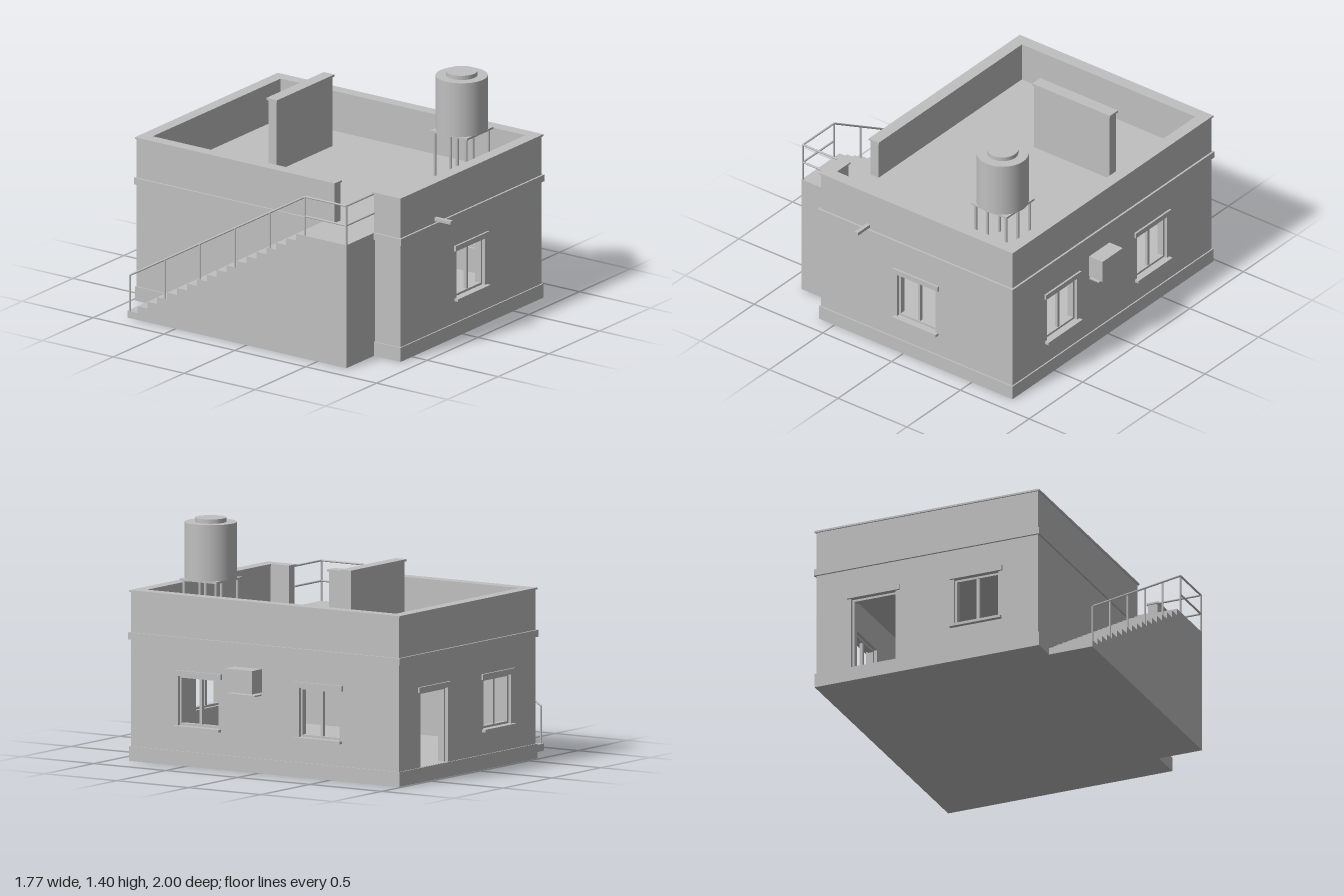
import * as THREE from 'three';

const concrete = new THREE.MeshStandardMaterial({ color: 0xc0c0c0 });
concrete.name = 'concrete grey';

function add(parent, name, geometry, x = 0, y = 0, z = 0) {
  const mesh = new THREE.Mesh(geometry, concrete);
  mesh.name = name;
  mesh.position.set(x, y, z);
  parent.add(mesh);
  return mesh;
}

// Box given by its limits on each axis
function block(parent, name, x0, x1, y0, y1, z0, z1) {
  return add(parent, name, new THREE.BoxGeometry(x1 - x0, y1 - y0, z1 - z0),
    (x0 + x1) / 2, (y0 + y1) / 2, (z0 + z1) / 2);
}

// Round bar between two points
function bar(parent, name, a, b, r = 0.006) {
  const from = new THREE.Vector3(...a), to = new THREE.Vector3(...b);
  const dir = to.clone().sub(from);
  const mesh = add(parent, name, new THREE.CylinderGeometry(r, r, dir.length(), 8));
  mesh.position.copy(from).add(to).multiplyScalar(0.5);
  mesh.quaternion.setFromUnitVectors(new THREE.Vector3(0, 1, 0), dir.normalize());
}

const X0 = -0.605, X1 = 0.788, Z0 = -0.975, Z1 = 0.885; // outer wall faces
const FLOOR = 0.085, CEILING = 0.705, ROOF = 0.745, WALL = 0.07;
const SILL = 0.232, HEAD = 0.52, HALF = 0.14;

function rectangle(path, x0, x1, y0, y1) {
  path.moveTo(x0, y0);
  path.lineTo(x1, y0);
  path.lineTo(x1, y1);
  path.lineTo(x0, y1);
  path.closePath();
  return path;
}

// Wall with openings, in its own frame: outer face on z = 0, facing +z
function piercedWall(parent, name, angle, x, z, u0, u1, windows, doors = []) {
  const side = new THREE.Group();
  side.name = name;
  side.rotation.y = angle;
  side.position.set(x, 0, z);
  parent.add(side);
  const shape = rectangle(new THREE.Shape(), u0, u1, FLOOR, CEILING);
  for (const u of windows) shape.holes.push(rectangle(new THREE.Path(), u - HALF, u + HALF, SILL, HEAD));
  for (const u of doors) shape.holes.push(rectangle(new THREE.Path(), u - HALF, u + HALF, FLOOR + 0.001, HEAD));
  add(side, name + 'Panel', new THREE.ExtrudeGeometry(shape, { depth: WALL, bevelEnabled: false }), 0, 0, -WALL);

  for (const u of [...windows, ...doors]) {
    const isDoor = doors.includes(u);
    const bottom = isDoor ? FLOOR : SILL;
    block(side, 'lintel', u - 0.165, u + 0.165, HEAD, 0.552, -0.02, 0.012);
    // Frame jambs and head
    for (const s of [-1, 1]) {
      const e = u + s * (HALF - 0.006);
      block(side, 'frameJamb', e - 0.006, e + 0.006, bottom, HEAD, -0.05, -0.02);
    }
    block(side, 'frameHead', u - HALF, u + HALF, HEAD - 0.013, HEAD, -0.05, -0.02);
    if (isDoor) continue;
    block(side, 'frameFoot', u - HALF, u + HALF, SILL, SILL + 0.013, -0.05, -0.02);
    block(side, 'mullion', u - 0.009, u + 0.009, SILL, HEAD, -0.045, -0.025);
    block(side, 'sill', u - 0.16, u + 0.16, 0.216, SILL, -0.02, 0.025);
  }
}

// One run of parapet with its coping; the coping overhangs by o
function parapet(parent, x0, x1, z0, z1) {
  const o = 0.008;
  block(parent, 'parapetWall', x0, x1, ROOF, 0.979, z0, z1);
  block(parent, 'parapetCoping', x0 - o, x1 + o, 0.979, 0.99, z0 - o, z1 + o);
}

function buildHouse(house) {
  block(house, 'plinth', X0 - 0.008, X1 + 0.008, 0, FLOOR, Z0 - 0.008, Z1 + 0.008);
  block(house, 'roofSlab', X0 - 0.012, X1 + 0.012, CEILING, ROOF, Z0 - 0.012, Z1 + 0.012);
  piercedWall(house, 'frontWall', 0, 0, Z1, X0, X1, [0.09]);
  piercedWall(house, 'backWall', Math.PI, 0, Z0, -X1, -X0, [0.215], [-0.43]);
  piercedWall(house, 'leftWall', Math.PI / 2, X1, 0, -Z1 + WALL, -Z0 - WALL, [-0.42, 0.42]);
  block(house, 'rightWall', X0, X0 + WALL, FLOOR, CEILING, Z0 + WALL, Z1 - WALL);

  // Parapet, with a gap for the stair landing
  const t = 0.058;
  parapet(house, X0, X1, Z1 - t, Z1);
  parapet(house, X0, X1, Z0, Z0 + t);
  parapet(house, X1 - t, X1, Z0 + t, Z1 - t);
  parapet(house, X0, X0 + t, Z0 + t, 0.42);
  parapet(house, X0, X0 + t, 0.7, Z1 - t);

  // Free-standing wall on the roof
  block(house, 'roofWall', -0.045, 0.505, ROOF, 1.165, -0.447, -0.388);
  block(house, 'roofWallCoping', -0.053, 0.513, 1.165, 1.178, -0.455, -0.38);

  // Fittings
  block(house, 'waterSpout', -0.27, -0.246, 0.757, 0.777, 0.82, 1);
  block(house, 'airConditioner', X1, 0.886, 0.47, 0.605, -0.022, 0.168);
  block(house, 'airConditionerBracket', X1, 0.86, 0.45, 0.458, -0.02, 0.166);
}

function buildStairs(stairs) {
  // Solid flight and landing: stepped profile swept across the width
  const steps = 18, run = 0.07, rise = ROOF / steps, start = -0.84, front = 0.705;
  const outer = -0.885;
  const profile = new THREE.Shape();
  profile.moveTo(-start, 0);
  for (let i = 0; i < steps; i++) {
    profile.lineTo(-(start + i * run), (i + 1) * rise);
    if (i < steps - 1) profile.lineTo(-(start + (i + 1) * run), (i + 1) * rise);
  }
  profile.lineTo(-front, ROOF);
  profile.lineTo(-front, 0);
  profile.closePath();
  const flight = add(stairs, 'stairFlight',
    new THREE.ExtrudeGeometry(profile, { depth: X0 - outer, bevelEnabled: false }), outer, 0, 0);
  flight.rotation.y = Math.PI / 2;

  // Handrail up the flight
  const x = -0.879, z0 = -0.825, z1 = 0.41, top = 0.98, low = 0.26;
  for (let i = 0; i <= 5; i++) {
    const k = i / 5, z = z0 + (z1 - z0) * k;
    const tread = Math.min(ROOF, (Math.floor((z - start) / run) + 1) * rise);
    bar(stairs, 'handrailPost', [x, tread, z], [x, low + (top - low) * k, z]);
  }
  bar(stairs, 'handrail', [x, low, z0], [x, top, z1]);

  // Guard rails round the landing
  const zf = 0.7;
  bar(stairs, 'landingPost', [x, ROOF, zf], [x, top, zf]);
  for (const y of [0.862, top]) {
    bar(stairs, 'landingSideRail', [x, y, z1], [x, y, zf]);
    bar(stairs, 'landingFrontRail', [x, y, zf], [X0, y, zf]);
  }
}

function buildTank(tank) {
  tank.position.set(0.461, 0, 0.555);
  for (const x of [-0.11, 0.11]) {
    for (const z of [-0.11, 0, 0.11]) bar(tank, 'tankLeg', [x, ROOF, z], [x, 1.04, z], 0.009);
  }
  block(tank, 'tankPlatform', -0.13, 0.13, 1.038, 1.05, -0.13, 0.13);
  add(tank, 'tankBody', new THREE.CylinderGeometry(0.15, 0.15, 0.325, 48), 0, 1.2125, 0);
  add(tank, 'tankLid', new THREE.CylinderGeometry(0.09, 0.09, 0.025, 48), 0, 1.3875, 0);
}

export function createModel() {
  const model = new THREE.Group();
  model.name = 'flatRoofHouse';
  for (const [name, build] of [['house', buildHouse], ['stairs', buildStairs], ['waterTank', buildTank]]) {
    const part = new THREE.Group();
    part.name = name;
    build(part);
    model.add(part);
  }
  return model;
}
